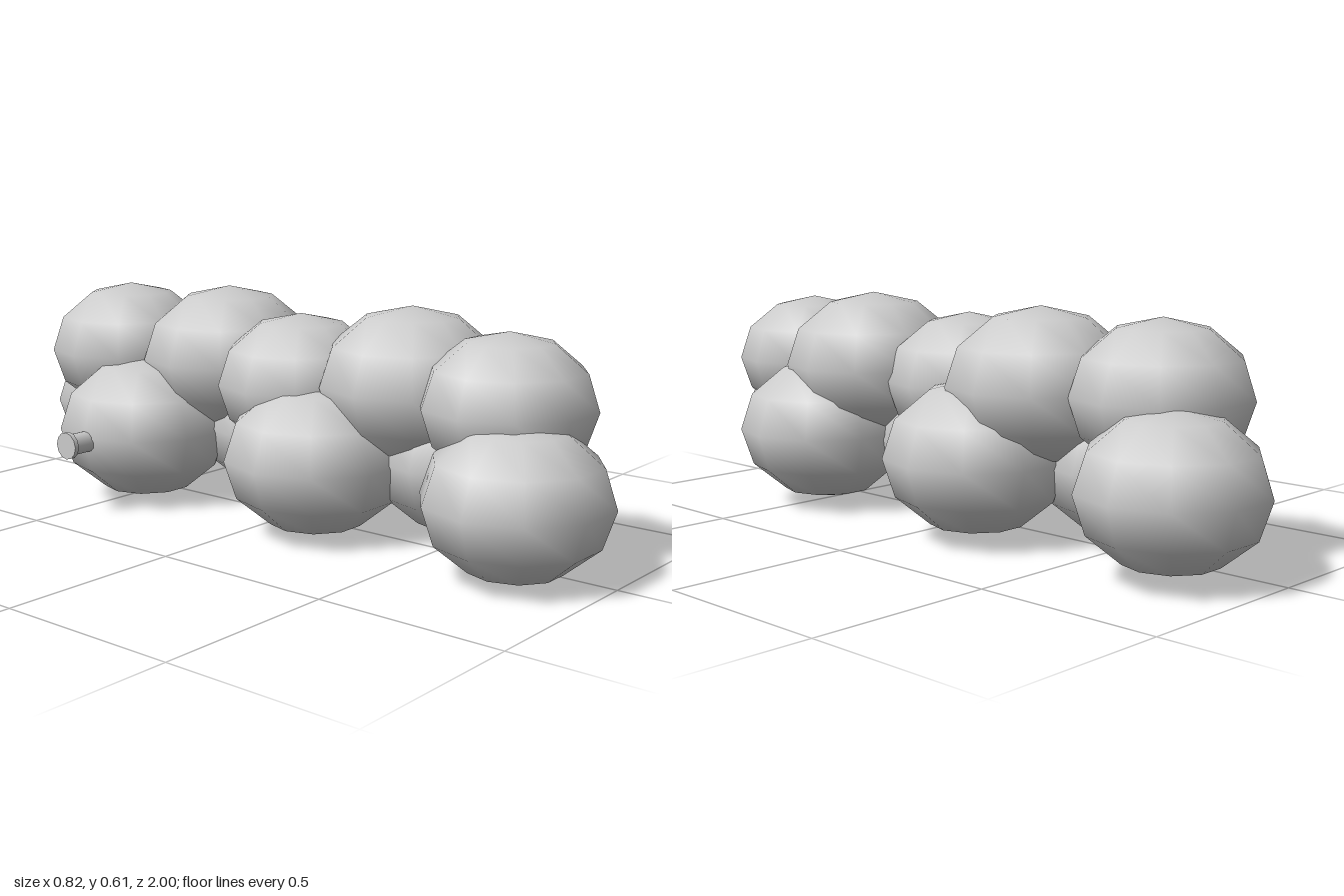
import * as THREE from 'three';

export function createModel() {
  const model = new THREE.Group();
  const material = new THREE.MeshStandardMaterial({ color: 0xcccccc });

  // Coarse, slightly squashed ball shared by every lobe
  const ball = new THREE.SphereGeometry(1, 10, 6);
  const SQUASH = 0.82;

  const addLobes = (name, lobes) => {
    const group = new THREE.Group();
    group.name = name;
    lobes.forEach(([x, y, z, r], i) => {
      const lobe = new THREE.Mesh(ball, material);
      lobe.name = `${name}Lobe${i + 1}`;
      lobe.position.set(x, y, z);
      lobe.scale.set(r, r * SQUASH, r);
      group.add(lobe);
    });
    model.add(group);
  };

  // Bottom row zigzags from side to side: x, y, z, radius
  addLobes('bottomRow', [
    [-0.09, 0.198, 0.772, 0.24],
    [0.14, 0.22, 0.472, 0.25],
    [-0.09, 0.21, 0.158, 0.25],
    [0.16, 0.22, -0.156, 0.25],
    [-0.1, 0.21, -0.47, 0.25],
    [0.145, 0.217, -0.772, 0.24],
  ]);

  // Top row rests in the gaps
  addLobes('topRow', [
    [0.013, 0.4, 0.678, 0.225],
    [0.055, 0.41, 0.36, 0.25],
    [-0.01, 0.385, 0.04, 0.23],
    [0.065, 0.41, -0.29, 0.25],
    [0, 0.41, -0.628, 0.236],
  ]);

  // Small stem with a rim, pointing to -x
  const stem = new THREE.Group();
  stem.name = 'stem';
  const addDisc = (name, radius, x0, x1) => {
    const disc = new THREE.Mesh(new THREE.CylinderGeometry(radius, radius, x1 - x0, 12), material);
    disc.name = name;
    disc.rotation.z = Math.PI / 2;
    disc.position.set((x0 + x1) / 2, 0.2, -0.47);
    stem.add(disc);
  };
  addDisc('stemTube', 0.03, -0.4, -0.28);
  addDisc('stemRim', 0.038, -0.411, -0.398);
  model.add(stem);

  return model;
}
